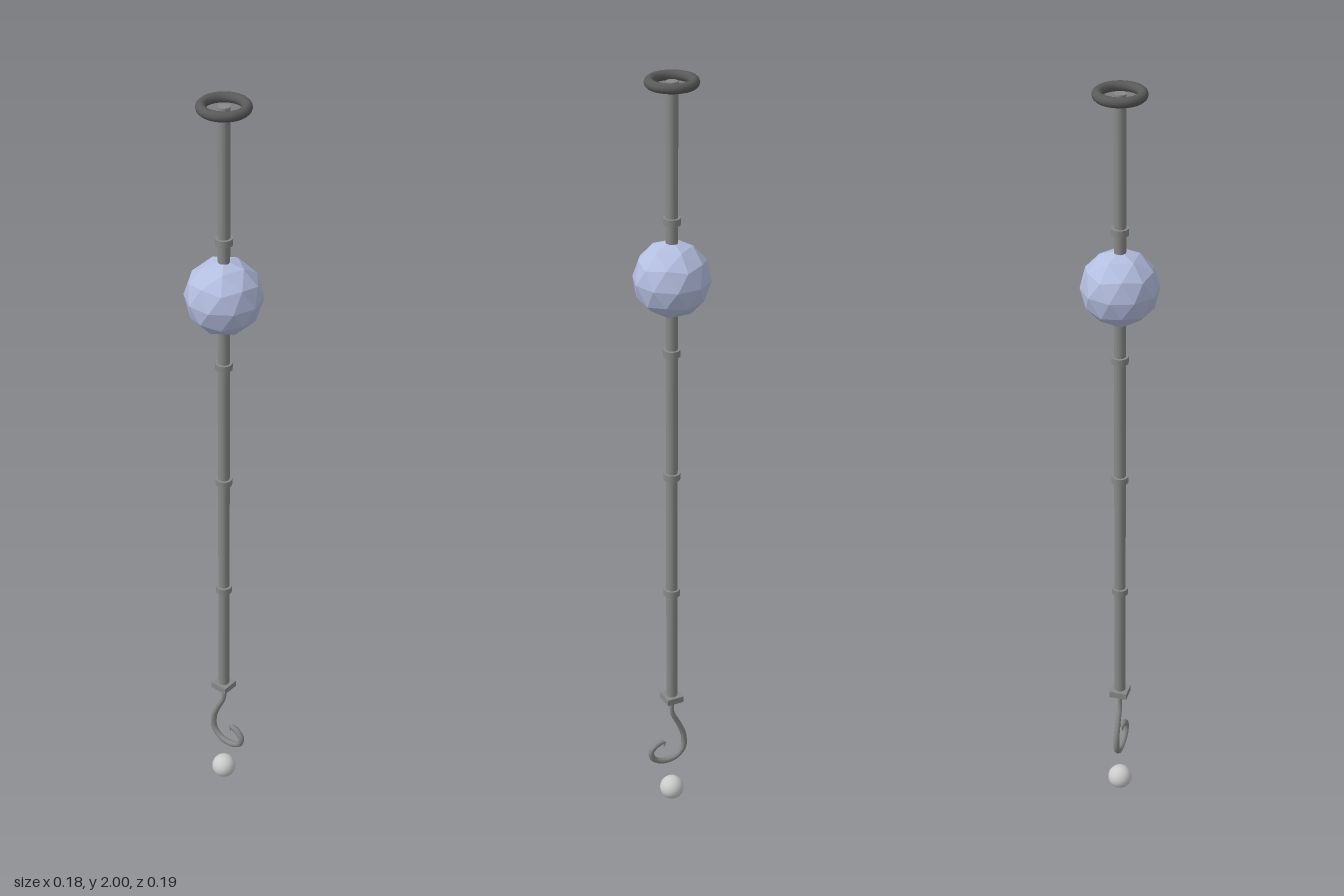
import * as THREE from 'three';

const steel = new THREE.MeshStandardMaterial({ color: 0x888888 });
const steelFlat = new THREE.MeshStandardMaterial({ color: 0x888888, flatShading: true });
const iron = new THREE.MeshStandardMaterial({ color: 0x5a5a5a });
const blue = new THREE.MeshStandardMaterial({ color: 0xb4bee0, flatShading: true });
const pale = new THREE.MeshStandardMaterial({ color: 0xcccccc });

export function createModel() {
  const group = new THREE.Group();
  const add = (name, geometry, material, y = 0) => {
    const mesh = new THREE.Mesh(geometry, material);
    mesh.name = name;
    mesh.position.y = y;
    group.add(mesh);
    return mesh;
  };

  // Long pole with evenly spaced collars
  const bottom = 0.32, top = 1.99;
  add('pole', new THREE.CylinderGeometry(0.0145, 0.0145, top - bottom, 16), steel, (top + bottom) / 2);
  for (let i = 1; i <= 4; i++) {
    add('collar' + i, new THREE.CylinderGeometry(0.021, 0.021, 0.017, 16), steel, bottom - 0.006 + i * 0.3355);
  }

  // Open ring around the top end
  add('topRing', new THREE.TorusGeometry(0.0515, 0.012, 12, 40).rotateX(Math.PI / 2), iron, 1.988);

  // Faceted ball, turned so that one corner points straight up
  const ball = new THREE.IcosahedronGeometry(0.0945, 1);
  ball.rotateZ(-Math.atan(2 / (1 + Math.sqrt(5))));
  add('facetedBall', ball, blue, 1.512);

  // Square cap that holds the hook
  add('hookCap', new THREE.BoxGeometry(0.046, 0.017, 0.046), steelFlat, 0.324);

  // Curled hook in the y-z plane: thin shank, thicker bend, pointed barb
  const path = new THREE.CatmullRomCurve3([
    [0.32, 0], [0.275, -0.001], [0.235, -0.019], [0.195, -0.034], [0.155, -0.034],
    [0.131, -0.012], [0.127, 0.024], [0.142, 0.054], [0.167, 0.061],
    [0.185, 0.043], [0.188, 0.024], [0.168, 0.024],
  ].map(([y, z]) => new THREE.Vector3(0, y, z)));
  const segments = 44, sides = 8;
  const hook = new THREE.TubeGeometry(path, segments, 0.008, sides);
  const pos = hook.attributes.position, p = new THREE.Vector3();
  for (let i = 0; i < pos.count; i++) {
    const t = Math.floor(i / (sides + 1)) / segments;
    const centre = path.getPointAt(t);
    const size = Math.min(0.65 + t, 1, (1 - t) * 12);
    p.fromBufferAttribute(pos, i).sub(centre).multiplyScalar(size).add(centre);
    pos.setXYZ(i, p.x, p.y, p.z);
  }
  add('hook', hook, steel);

  // Loose bead beneath the hook
  add('bead', new THREE.SphereGeometry(0.032, 24, 16), pale, 0.032);

  return group;
}
